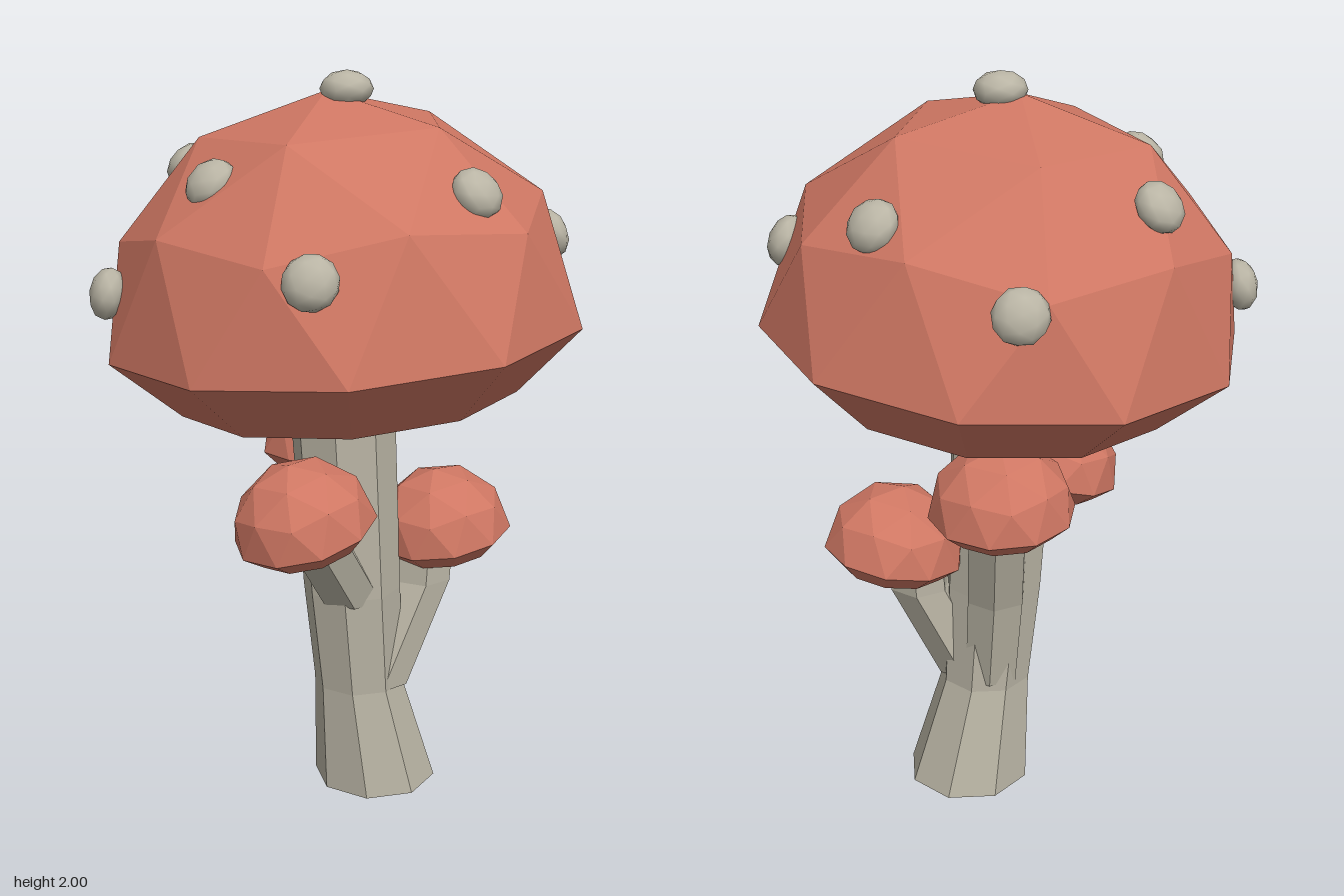
import * as THREE from 'three';

// Faceted geometry from a flat list of triangle corners
function faceted(corners) {
  const geo = new THREE.BufferGeometry().setFromPoints(corners);
  geo.computeVertexNormals();
  return geo;
}

function ring(n, y, radius, offset = 0, cx = 0, cz = 0) {
  return Array.from({ length: n }, (_, i) => {
    const a = ((i + offset) / n) * Math.PI * 2;
    const r = typeof radius === 'function' ? radius(i) : radius;
    const h = typeof y === 'function' ? y(i) : y;
    return new THREE.Vector3(cx + r * Math.cos(a), h, cz + r * Math.sin(a));
  });
}

// Band of quads between two rings of equal count
function band(out, upper, lower) {
  const n = upper.length;
  for (let j = 0; j < n; j++) {
    const k = (j + 1) % n;
    out.push(upper[j], upper[k], lower[k], upper[j], lower[k], lower[j]);
  }
}

// Flat lid closing a ring, facing up or down
function lid(out, pts, up) {
  for (let j = 1; j < pts.length - 1; j++) {
    if (up) out.push(pts[0], pts[j + 1], pts[j]);
    else out.push(pts[0], pts[j], pts[j + 1]);
  }
}

// Domed cap: triangulated half sphere over an inset flat underside; rim at y = 0
function capGeometry() {
  const R = 0.63, H = 0.62;
  const pole = new THREE.Vector3(0, H, 0);
  const r1 = ring(5, H * 0.851, R * 0.526);
  const r2 = ring(10, i => H * (i % 2 ? 0.526 : 0.447), i => R * (i % 2 ? 0.851 : 0.894));
  const rim = ring(10, 0, R, 0.5);
  const low = ring(10, -0.165, 0.455, 0.5);
  const t = [];
  for (let i = 0; i < 5; i++) {
    const a = r1[i], b = r1[(i + 1) % 5];
    const c = r2[2 * i], d = r2[2 * i + 1], e = r2[(2 * i + 2) % 10];
    t.push(pole, b, a, a, d, c, a, b, d, b, e, d);
  }
  for (let j = 0; j < 10; j++) {
    t.push(r2[j], r2[(j + 1) % 10], rim[j], r2[j], rim[j], rim[(j + 9) % 10]);
  }
  band(t, rim, low);
  lid(t, low, false);
  return faceted(t);
}

// Stalk through sections [x, y, z, radius], listed from the bottom up
function stalkGeometry(sides, sections) {
  const rings = sections.map(([x, y, z, r]) => ring(sides, y, r, 0, x, z));
  const t = [];
  for (let i = 0; i < rings.length - 1; i++) band(t, rings[i + 1], rings[i]);
  lid(t, rings[0], false);
  lid(t, rings[rings.length - 1], true);
  return faceted(t);
}

export function createModel() {
  const model = new THREE.Group();
  model.name = 'mushroom';
  const red = new THREE.MeshStandardMaterial({ color: 0xcf7763 });
  red.name = 'cap red';
  const grey = new THREE.MeshStandardMaterial({ color: 0xbab5a5 });
  grey.name = 'stem grey';

  const add = (name, geo, mat) => {
    const mesh = new THREE.Mesh(geo, mat);
    mesh.name = name;
    model.add(mesh);
    return mesh;
  };

  // Stem and side branches
  add('stem', stalkGeometry(8, [
    [0.11, 0, 0, 0.172], [0.055, 0.31, -0.005, 0.125],
    [0.03, 0.6, -0.005, 0.135], [0, 1.25, -0.02, 0.145],
  ]), grey);
  add('rightBranch', stalkGeometry(6, [
    [0.09, 0.31, 0.04, 0.085], [0.225, 0.6, 0.06, 0.085], [0.235, 0.73, 0.06, 0.085],
  ]), grey);
  add('leftBranch', stalkGeometry(6, [
    [0.0, 0.58, 0.03, 0.09], [-0.14, 0.78, 0.08, 0.09], [-0.16, 0.86, 0.09, 0.08],
  ]), grey);
  add('backBranch', stalkGeometry(6, [
    [0.06, 0.33, -0.05, 0.08], [0.07, 0.6, -0.1, 0.085],
    [0.1, 0.82, -0.17, 0.085], [0.1, 0.94, -0.18, 0.085],
  ]), grey);

  // Caps: position, scale, tilt about x and z, turn
  const capGeo = capGeometry();
  [
    ['mainCap', [0, 1.33, 0], 1, -0.047, 0.057, 0],
    ['rightCap', [0.297, 0.72, 0.065], 0.305, -0.05, 0.17, 0.1],
    ['leftCap', [-0.2, 0.845, 0.1], 0.305, -0.08, 0.28, 0.2],
    ['backCap', [0.115, 0.925, -0.225], 0.305, -0.06, -0.05, 0],
  ].forEach(([name, pos, scale, tiltX, tiltZ, turn]) => {
    const cap = add(name, capGeo, red);
    cap.position.set(...pos);
    cap.scale.setScalar(scale);
    cap.rotation.set(tiltX, turn, tiltZ);
  });

  // Flattened warts lying on the main cap
  const wartGeo = new THREE.IcosahedronGeometry(1, 1);
  const up = new THREE.Vector3(0, 1, 0);
  const centre = new THREE.Vector3(0, 1.33, 0);
  [
    [0, 1.953, 0.01], [0.07, 1.735, 0.435], [-0.395, 1.57, 0.4],
    [0.49, 1.57, 0.25], [0.43, 1.715, -0.185], [0.22, 1.57, -0.53],
    [-0.21, 1.735, -0.41], [-0.405, 1.75, 0], [-0.55, 1.45, -0.27],
  ].forEach((p, i) => {
    const wart = add('wart' + (i + 1), wartGeo, grey);
    wart.position.set(...p);
    wart.scale.set(0.069, 0.047, 0.069);
    wart.quaternion.setFromUnitVectors(up, wart.position.clone().sub(centre).normalize());
  });

  return model;
}
